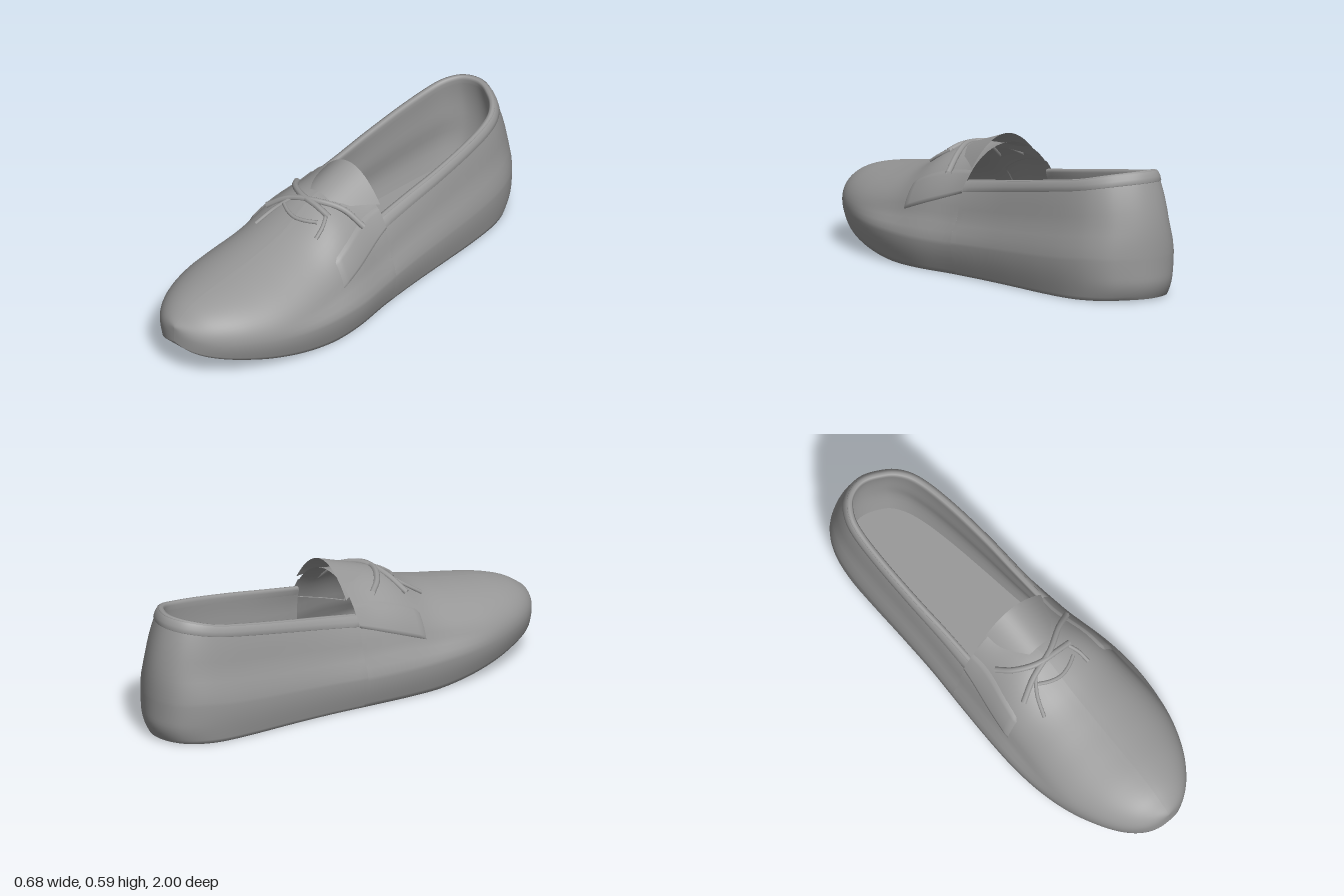
import * as THREE from 'three';

// Stations along the shoe: z, right edge x, left edge x, underside y, widest y, crown y
const STATIONS = [
  [-1, -0.085, -0.085, 0.012, 0.2, 0.75],
  [-0.97, -0.2, 0.035, 0.012, 0.2, 0.75],
  [-0.93, -0.243, 0.1, 0.01, 0.2, 0.75],
  [-0.85, -0.282, 0.16, 0.008, 0.2, 0.75],
  [-0.75, -0.3, 0.195, 0.006, 0.19, 0.75],
  [-0.6, -0.307, 0.222, 0.006, 0.18, 0.75],
  [-0.4, -0.31, 0.245, 0.008, 0.17, 0.7],
  [-0.2, -0.315, 0.265, 0.008, 0.16, 0.61],
  [0, -0.328, 0.292, 0.007, 0.15, 0.54],
  [0.2, -0.34, 0.33, 0.006, 0.15, 0.515],
  [0.35, -0.344, 0.34, 0.01, 0.155, 0.435],
  [0.5, -0.336, 0.33, 0.028, 0.16, 0.393],
  [0.65, -0.31, 0.298, 0.055, 0.17, 0.365],
  [0.8, -0.257, 0.238, 0.09, 0.185, 0.34],
  [0.9, -0.197, 0.17, 0.115, 0.19, 0.313],
  [0.97, -0.12, 0.09, 0.14, 0.2, 0.272],
  [1, -0.015, -0.015, 0.175, 0.205, 0.24],
];
const toU = z => Math.acos(-z);
const spline = new THREE.CubicInterpolant(
  STATIONS.map(s => toU(s[0])), STATIONS.flatMap(s => s.slice(1)), 5, new Float32Array(5));

function station(u) {
  const [xr, xl, bot, mid, top] = spline.evaluate(u);
  return { z: -Math.cos(u), c: (xr + xl) / 2, w: Math.max(0, (xl - xr) / 2), bot, mid, top };
}

const { lerp, clamp, smoothstep } = THREE.MathUtils;
const THROAT = toU(-0.04);
const FLOOR = 0.1;
const rimY = u => 0.408 + 0.152 * (-0.04 + Math.cos(u));

// The heel curves forward toward the collar and under the sole
function heelLean(z, y) {
  const k = smoothstep(-z, 0.7, 1);
  const up = Math.max(0, (y - 0.2) / 0.36), down = Math.max(0, (0.1 - y) / 0.1);
  return z + k * (0.075 * up * up + 0.035 * down * down);
}

// Half-width of a section: rounded and slightly pinched above, tapered to the sole edge below
function halfWidth(s, y) {
  if (y > s.mid) {
    const h = clamp((y - s.mid) / (s.top - s.mid), 0, 1);
    const pinch = 0.1 * (1 - smoothstep(s.z, 0.3, 0.7)) * smoothstep(h, 0, 0.28) * (1 - 0.5 * h);
    return s.w * Math.sqrt(1 - h * h) * (1 - pinch);
  }
  const h = clamp((s.mid - y) / (s.mid - s.bot), 0, 1);
  return s.w * lerp(1, 0.9, 1 - Math.cos(h * Math.PI / 2));
}

// Surface point by station, side (+1 left, -1 right) and section angle
function atAngle(u, side, a) {
  const s = station(u), f = 1 + a / (Math.PI / 2);
  const y = f > 1 ? s.mid + (s.top - s.mid) * Math.sin(a) : lerp(s.bot, s.mid, Math.max(0, f * 2 - 1));
  const x = halfWidth(s, y) * Math.min(1, f * 2);
  return new THREE.Vector3(s.c + side * x, y, heelLean(s.z, y));
}

// Surface point by height, travelling round the heel: t < 0 right, t > 0 left
function atHeight(t, y, off = 0) {
  const raw = q => {
    const s = station(Math.abs(q));
    return new THREE.Vector3(s.c + Math.sign(q) * halfWidth(s, y), y, heelLean(s.z, y));
  };
  const p = raw(t);
  if (off) {
    const d = raw(t + 0.02).sub(raw(t - 0.02)).normalize();
    p.x += d.z * off;
    p.z -= d.x * off;
  }
  return p;
}

// Smooth sheet through a grid of points fn(i / nu, j / nv)
function sheet(name, nu, nv, fn) {
  const pos = [], idx = [];
  for (let i = 0; i <= nu; i++) for (let j = 0; j <= nv; j++) pos.push(...fn(i / nu, j / nv).toArray());
  for (let i = 0; i < nu; i++) for (let j = 0; j < nv; j++) {
    const a = i * (nv + 1) + j, b = a + nv + 1;
    idx.push(a, b, a + 1, b, b + 1, a + 1);
  }
  const g = new THREE.BufferGeometry();
  g.setAttribute('position', new THREE.Float32BufferAttribute(pos, 3));
  g.setIndex(idx);
  g.computeVertexNormals();
  return part(name, g);
}

function part(name, geometry) {
  const mesh = new THREE.Mesh(geometry,
    new THREE.MeshStandardMaterial({ color: 0x999999, side: THREE.DoubleSide }));
  mesh.name = name;
  return mesh;
}

// Cord half sunk into the vamp through x, z points
function lace(name, pts, radius) {
  const curve = new THREE.CatmullRomCurve3(pts.map(([x, z]) => {
    const s = station(toU(z)), k = (x - s.c) / s.w;
    return new THREE.Vector3(x, s.mid + (s.top - s.mid) * Math.sqrt(1 - k * k), z);
  }));
  return part(name, new THREE.TubeGeometry(curve, 24, radius, 8));
}

export function createModel() {
  const shoe = new THREE.Group();
  shoe.name = 'shoe';

  // Closed forefoot: vamp, toe and front of the sole
  shoe.add(sheet('vamp', 48, 64, (i, j) => {
    const phi = (j * 2 - 1) * Math.PI;
    return atAngle(lerp(THROAT, Math.PI, i), Math.sign(phi) || 1, Math.abs(phi) - Math.PI / 2);
  }));

  // Open rear: sides, heel and rear of the sole
  shoe.add(sheet('quarters', 80, 32, (i, j) => {
    const t = (i * 2 - 1) * THROAT, u = Math.abs(t), s = station(u);
    const rim = Math.asin(clamp((rimY(u) - s.mid) / (s.top - s.mid), 0, 1));
    const a = j < 0.75 ? lerp(-Math.PI / 2, 0, j / 0.75) : lerp(0, rim, j * 4 - 3);
    return atAngle(u, Math.sign(t) || 1, a);
  }));

  // Soft band round the opening: height from the rim, offset from the wall
  const band = [[-0.05, -0.004], [-0.044, 0.004], [-0.025, 0.006], [-0.004, 0.003],
    [0.003, -0.008], [0.001, -0.02], [-0.012, -0.03], [-0.05, -0.034]];
  shoe.add(sheet('collar', 80, band.length - 1, (i, j) => {
    const t = (i * 2 - 1) * THROAT;
    const [dy, off] = band[Math.round(j * (band.length - 1))];
    return atHeight(t, rimY(Math.abs(t)) + dy, off);
  }));

  // Inner wall and footbed
  shoe.add(sheet('lining', 80, 10, (i, j) => {
    const t = (i * 2 - 1) * THROAT;
    return atHeight(t, lerp(rimY(Math.abs(t)) - 0.03, FLOOR, j), -0.032 - 0.05 * j);
  }));
  shoe.add(sheet('insole', 40, 4, (i, j) => {
    const u = lerp(0.001, toU(0.5), i);
    return atHeight(-u, FLOOR, -0.082).lerp(atHeight(u, FLOOR, -0.082), j);
  }));

  // Tongue flaring up out of the throat
  shoe.add(sheet('tongue', 12, 20, (i, j) => {
    const x = (j * 2 - 1) * (0.1 + 0.08 * i);
    return new THREE.Vector3(x, 0.533 + 0.06 * i - 4.1 * x * x, 0.14 - 0.19 * i);
  }));

  // Side facings overlaid between the throat and the vamp
  for (const side of [-1, 1]) {
    shoe.add(sheet(side > 0 ? 'leftFacing' : 'rightFacing', 16, 12, (i, j) => {
      const u = lerp(THROAT, toU(0.29), i);
      const edge = j === 0 || j === 1 || i === 1 ? -0.003 : 0.007;
      const y = lerp(lerp(0.355, 0.24, i), 0.45 - 0.09 * i * i, j);
      return atHeight(side * u, y, edge);
    }));
  }

  // Crossed laces, loose ends and the stitched fold ahead of them
  const laces = new THREE.Group();
  laces.name = 'laces';
  laces.add(
    lace('crossLaceA', [[-0.19, 0.26], [-0.1, 0.22], [0.03, 0.18], [0.13, 0.12], [0.21, 0.08]], 0.014),
    lace('crossLaceB', [[-0.19, 0.08], [-0.14, 0.14], [-0.05, 0.19], [0.05, 0.2], [0.12, 0.2]], 0.014),
    lace('looseEndRight', [[-0.08, 0.21], [-0.13, 0.28], [-0.16, 0.36]], 0.009),
    lace('looseEndLeft', [[0.1, 0.19], [0.13, 0.25], [0.14, 0.3]], 0.009),
    lace('vampFold', [[-0.1, 0.25], [-0.05, 0.275], [0, 0.285], [0.05, 0.275], [0.1, 0.25]], 0.009),
  );
  shoe.add(laces);
  return shoe;
}
